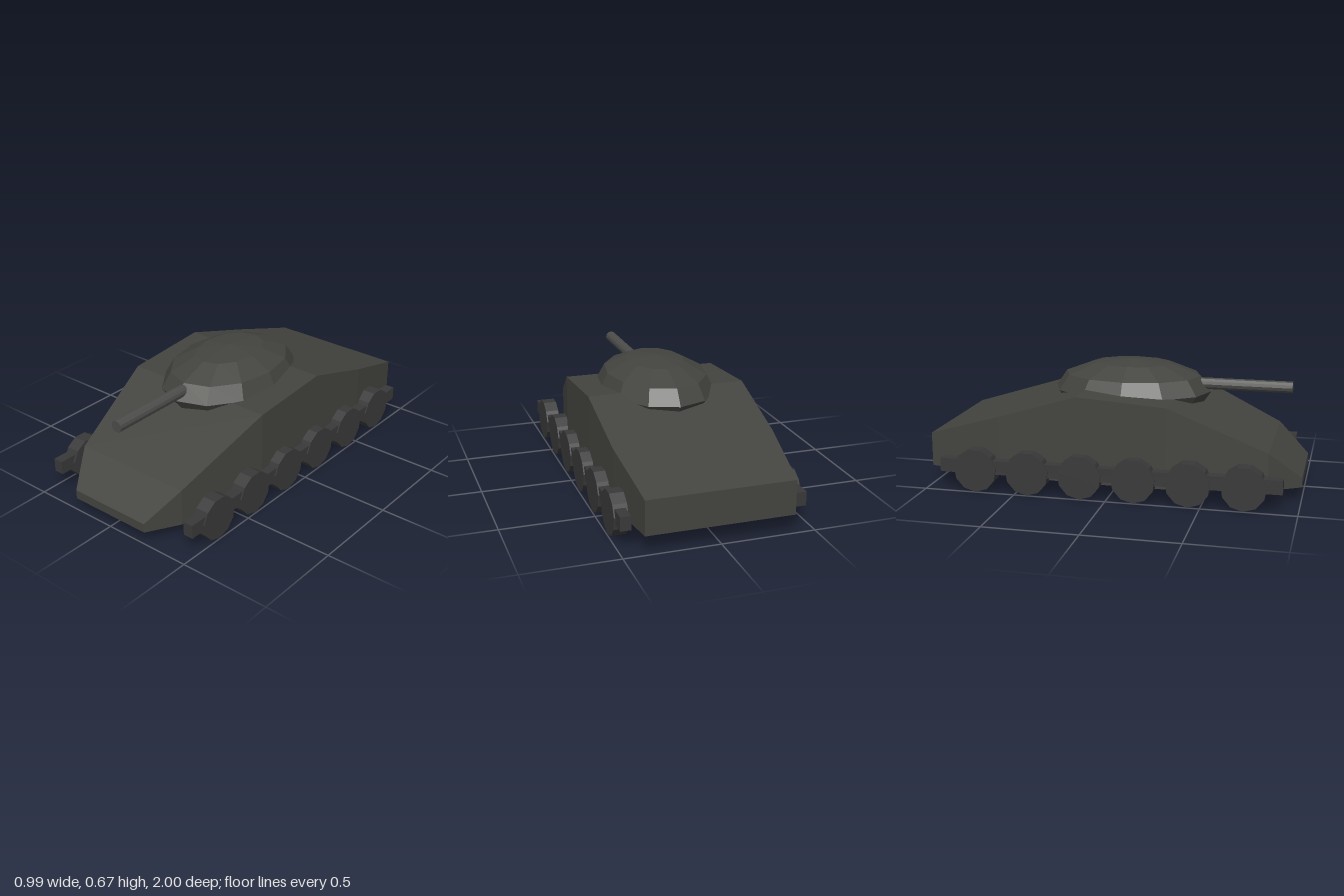
import * as THREE from 'three';

const paint = (color) => new THREE.MeshStandardMaterial({ color, flatShading: true });

// Hull skin from rectangular cross-sections running front to back
function hullGeometry() {
  // [z, half width, bottom y, top y]
  const sections = [
    [1, 0.24, 0.07, 0.12],
    [0.83, 0.34, 0.07, 0.27],
    [0.31, 0.437, 0.07, 0.505],
    [-0.17, 0.437, 0.07, 0.538],
    [-0.6, 0.43, 0.085, 0.405],
    [-1, 0.39, 0.1, 0.285],
  ];
  const pos = [];
  const index = [0, 1, 2, 0, 2, 3];
  for (const [z, w, lo, hi] of sections) {
    pos.push(-w, lo, z, w, lo, z, w, hi, z, -w, hi, z);
  }
  const last = sections.length - 1;
  for (let i = 0; i < last; i++) {
    for (let j = 0; j < 4; j++) {
      const a = i * 4 + j;
      const b = i * 4 + ((j + 1) % 4);
      const c = a + 4;
      const d = b + 4;
      // the two flanks split along mirrored diagonals
      if (j === 1) index.push(a, c, d, a, d, b);
      else index.push(a, c, b, b, c, d);
    }
  }
  const e = last * 4;
  index.push(e, e + 2, e + 1, e, e + 3, e + 2);
  const geo = new THREE.BufferGeometry();
  geo.setAttribute('position', new THREE.Float32BufferAttribute(pos, 3));
  geo.setIndex(index);
  const flat = geo.toNonIndexed();
  flat.computeVertexNormals();
  return flat;
}

export function createModel() {
  const model = new THREE.Group();
  model.name = 'tank';
  const armour = paint(0x43443f);
  const running = paint(0x393939);
  const steel = paint(0x4c4c4a);

  const add = (parent, name, geo, mat, x, y, z) => {
    const mesh = new THREE.Mesh(geo, mat);
    mesh.name = name;
    mesh.position.set(x, y, z);
    parent.add(mesh);
    return mesh;
  };

  add(model, 'hull', hullGeometry(), armour, 0, 0, 0);

  // Squashed dome sunk into the hull
  const dome = new THREE.SphereGeometry(1, 12, 6).scale(0.315, 0.168, 0.437);
  add(model, 'turret', dome, armour, 0, 0.505, 0.04);

  const barrel = new THREE.CylinderGeometry(0.032, 0.032, 0.6, 12).rotateX(Math.PI / 2);
  add(model, 'gunBarrel', barrel, steel, 0, 0.549, 0.617);

  // Running gear: a beam and six wheels on each side
  const wheel = new THREE.CylinderGeometry(0.118, 0.118, 0.075, 11)
    .rotateZ(Math.PI / 2)
    .rotateX(Math.PI / 2);
  const beam = new THREE.BoxGeometry(0.056, 0.075, 1.835);
  for (const [side, name] of [[1, 'left'], [-1, 'right']]) {
    const gear = new THREE.Group();
    gear.name = name + 'RunningGear';
    add(gear, name + 'Beam', beam, running, side * 0.459, 0.138, 0.002);
    for (let i = 0; i < 6; i++) {
      add(gear, name + 'Wheel' + (i + 1), wheel, running, side * 0.457, 0.118, 0.722 - i * 0.288);
    }
    model.add(gear);
  }
  return model;
}
